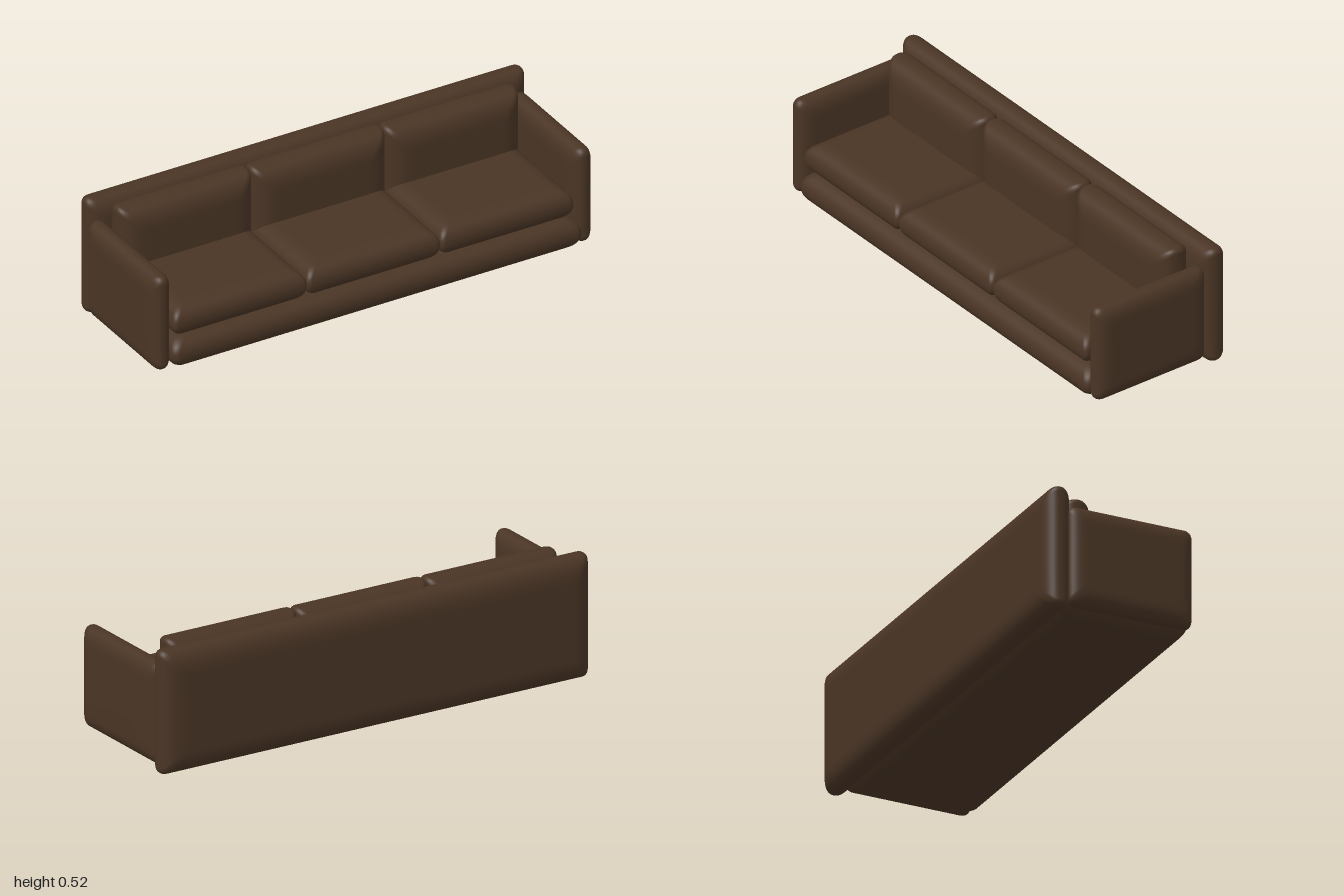
import * as THREE from 'three';

// Rounded rectangle outline, counter-clockwise, centred on the origin
function outline(halfW, halfH, r) {
  const pts = [], arc = 6, straight = 4;
  const corners = [[1, 1], [-1, 1], [-1, -1], [1, -1]];
  corners.forEach(([sx, sy], q) => {
    const cx = sx * (halfW - r), cy = sy * (halfH - r);
    for (let i = 0; i <= arc; i++) {
      const a = (q + i / arc) * Math.PI / 2;
      pts.push([cx + r * Math.cos(a), cy + r * Math.sin(a)]);
    }
    // Intermediate points along the straight side up to the next corner
    const [nx, ny] = corners[(q + 1) % 4];
    const a = (q + 1) * Math.PI / 2;
    const from = pts[pts.length - 1];
    const to = [nx * (halfW - r) + r * Math.cos(a), ny * (halfH - r) + r * Math.sin(a)];
    for (let i = 1; i < straight; i++) {
      const t = i / straight;
      pts.push([from[0] + (to[0] - from[0]) * t, from[1] + (to[1] - from[1]) * t]);
    }
  });
  return pts;
}

// Padded slab: outlines stacked along z, shrinking by "inset" towards both faces
function paddedSlab(w, h, thickness, inset, r) {
  const levels = 24, power = 2.3, pos = [], index = [];
  let n = 0;
  for (let k = 0; k <= levels; k++) {
    const s = -Math.cos(Math.PI * k / levels);
    const d = inset * (1 - Math.pow(Math.max(0, 1 - Math.pow(Math.abs(s), power)), 1 / power));
    const ring = outline(w / 2 - d, h / 2 - d, r);
    n = ring.length;
    ring.forEach(([x, y]) => pos.push(x, y, s * thickness / 2));
  }
  for (let k = 0; k < levels; k++) {
    for (let i = 0; i < n; i++) {
      const a = k * n + i, b = k * n + (i + 1) % n;
      index.push(a, b, b + n, a, b + n, a + n);
    }
  }
  // Flat centre of both faces
  const back = pos.length / 3, front = back + 1, last = levels * n;
  pos.push(0, 0, -thickness / 2, 0, 0, thickness / 2);
  for (let i = 0; i < n; i++) {
    const j = (i + 1) % n;
    index.push(back, j, i, front, last + i, last + j);
  }
  const geo = new THREE.BufferGeometry();
  geo.setAttribute('position', new THREE.Float32BufferAttribute(pos, 3));
  geo.setIndex(index);
  geo.computeVertexNormals();
  return geo;
}

export function createModel() {
  const sofa = new THREE.Group();
  sofa.name = 'sofa';
  const leather = new THREE.MeshStandardMaterial({ color: 0x4a3525 });
  leather.name = 'brown leather';

  const add = (name, geo, x, y, z) => {
    const mesh = new THREE.Mesh(geo, leather);
    mesh.name = name;
    mesh.position.set(x, y, z);
    sofa.add(mesh);
  };

  // Base, padded above and below
  add('base', paddedSlab(1.85, 0.55, 0.15, 0.11, 0.03).rotateX(-Math.PI / 2), 0.007, 0.077, 0.05);

  // Backrest running the full width
  add('backrest', paddedSlab(1.98, 0.515, 0.122, 0.1, 0.025), 0.01, 0.266, -0.261);

  // Arms
  const arm = paddedSlab(0.535, 0.42, 0.09, 0.075, 0.03).rotateY(Math.PI / 2);
  add('leftArm', arm, 0.947, 0.235, 0.043);
  add('rightArm', arm, -0.955, 0.235, 0.043);

  // Three seat cushions and three back cushions
  const seat = paddedSlab(0.602, 0.51, 0.138, 0.085, 0.02).rotateX(-Math.PI / 2);
  const backCushion = paddedSlab(0.602, 0.36, 0.15, 0.1, 0.02);
  ['right', 'middle', 'left'].forEach((side, i) => {
    const x = -0.003 + (i - 1) * 0.602;
    add(side + 'SeatCushion', seat, x, 0.21, 0.055);
    add(side + 'BackCushion', backCushion, x, 0.34, -0.147);
  });

  return sofa;
}
